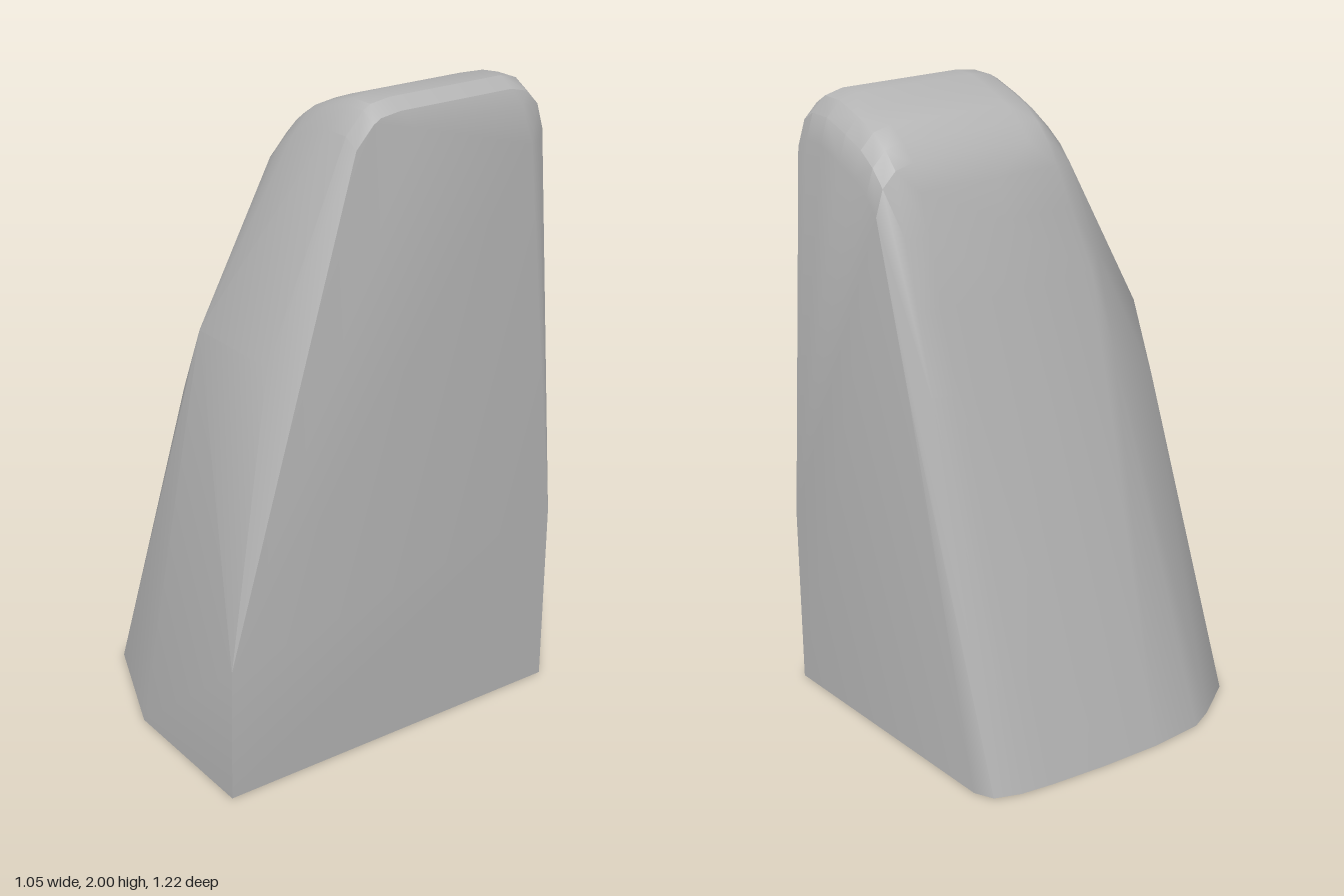
import * as THREE from 'three';
import { ConvexGeometry } from 'three/addons/geometries/ConvexGeometry.js';
import { toCreasedNormals } from 'three/addons/utils/BufferGeometryUtils.js';

export function createModel() {
  const model = new THREE.Group();
  const grey = new THREE.MeshStandardMaterial({ color: 0xb4b4b4 });
  grey.name = 'stone grey';

  const points = [];
  const add = (x, y, z) => points.push(new THREE.Vector3(x, y, z));

  // Base outline: square corners on +x, rounded on -x
  const base = [
    [0.525, 0.61], [0.01, 0.6], [-0.37, 0.445], [-0.47, 0.3], [-0.51, 0.22], [-0.525, 0.04],
    [-0.52, -0.16], [-0.505, -0.35], [-0.49, -0.46], [-0.46, -0.54], [-0.4, -0.57], [0.525, -0.61],
  ];
  base.forEach(([x, z]) => add(x, 0, z));

  // Upright corner edges on the +x side
  add(0.525, 0.43, 0.605);
  add(0.525, 0.6, -0.61);

  // Sloping left side, bowed in z and rounded into the back: [x, y, front z]
  const leftSide = [[-0.2, 1.2, 0.12], [-0.135, 1.45, 0.08], [-0.08, 1.65, 0.04], [-0.04, 1.77, 0.02]];
  leftSide.forEach(([x, y, z]) => {
    add(x + 0.006, y, z);
    add(x, y, -0.2);
    add(x + 0.006, y, -0.47);
    add(x + 0.025, y, -0.54);
    add(x + 0.07, y, -0.59);
  });

  // Sloping front with its knee and chamfered left corner
  add(-0.1, 1.05, 0.35);
  add(0, 1.27, 0.355);
  add(0.36, 1.27, 0.36);
  add(0.43, 1.25, 0.33);
  add(-0.09, 1.5, 0.13);

  // Arched top with rounded front and back edges: [x, y]
  const arch = [[0, 1.85], [0.05, 1.9], [0.11, 1.94], [0.19, 1.97], [0.29, 2], [0.37, 2], [0.42, 1.97]];
  arch.forEach(([x, y]) => {
    add(x, y - 0.09, 0.095);
    add(x, y - 0.025, 0.035);
    add(x, y - 0.01, 0.01);
    add(x, y, -0.06);
    add(x, y, -0.47);
    add(x, y - 0.015, -0.53);
    add(x, y - 0.06, -0.575);
    add(x, y - 0.14, -0.6);
  });

  // Rounded shoulder along the +x face
  add(0.435, 1.92, -0.1);
  add(0.44, 1.92, -0.5);
  add(0.455, 1.8, -0.53);
  add(0.44, 1.8, -0.57);

  const body = new THREE.Mesh(toCreasedNormals(new ConvexGeometry(points), 0.5), grey);
  body.name = 'taperedBlock';
  model.add(body);
  return model;
}
